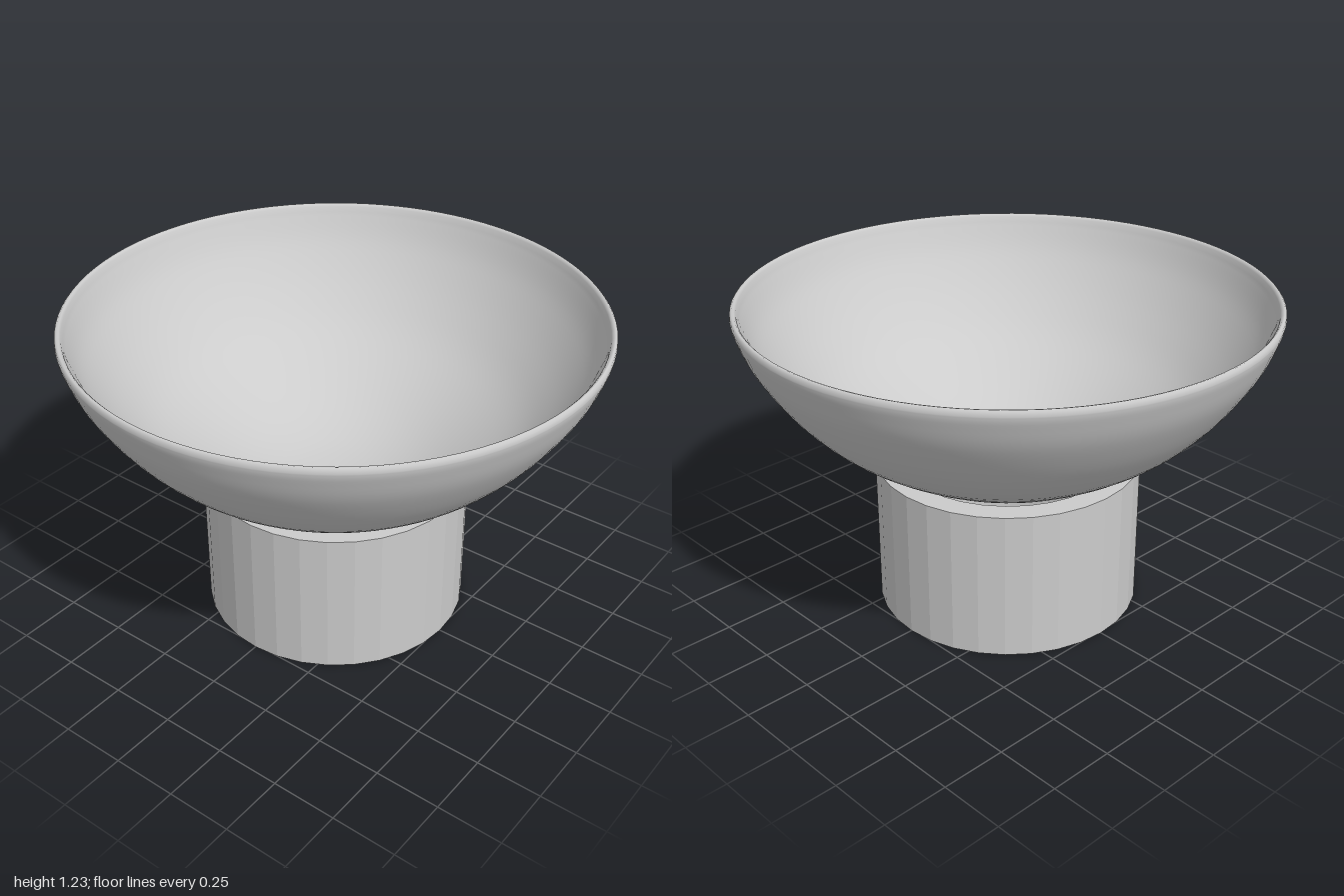
import * as THREE from 'three';

const vec = ([x, y]) => new THREE.Vector2(x, y);

// Smooth run of profile points through a few [radius, height] knots
const smooth = (knots, n) => new THREE.SplineCurve(knots.map(vec)).getPoints(n);

export function createModel() {
  const model = new THREE.Group();

  // Bowl: outer wall from the centre up, rounded lip, inner wall back down
  const outer = smooth([[0, 0.49], [0.2, 0.514], [0.4, 0.585], [0.66, 0.738],
    [0.82, 0.885], [0.94, 1.055], [0.99, 1.17], [1, 1.21]], 32);
  const lip = [[0.998, 1.223], [0.991, 1.23], [0.983, 1.228], [0.976, 1.22]].map(vec);
  const inner = smooth([[0.97, 1.2], [0.91, 1.075], [0.79, 0.912], [0.64, 0.77],
    [0.39, 0.62], [0.19, 0.548], [0, 0.525]], 32);
  const profile = [...outer, ...lip, ...inner];
  profile[0].x = profile[profile.length - 1].x = 0;
  const bowl = new THREE.Mesh(
    new THREE.LatheGeometry(profile, 96),
    new THREE.MeshStandardMaterial({ color: 0xcccccc })
  );
  bowl.name = 'bowl';
  model.add(bowl);

  // Foot: faceted open ring with a square section
  const section = [[0.422, 0], [0.51, 0], [0.51, 0.582], [0.422, 0.582], [0.422, 0]].map(vec);
  const foot = new THREE.Mesh(
    new THREE.LatheGeometry(section, 32),
    new THREE.MeshStandardMaterial({ color: 0xcccccc, flatShading: true })
  );
  foot.name = 'footRing';
  model.add(foot);

  return model;
}
